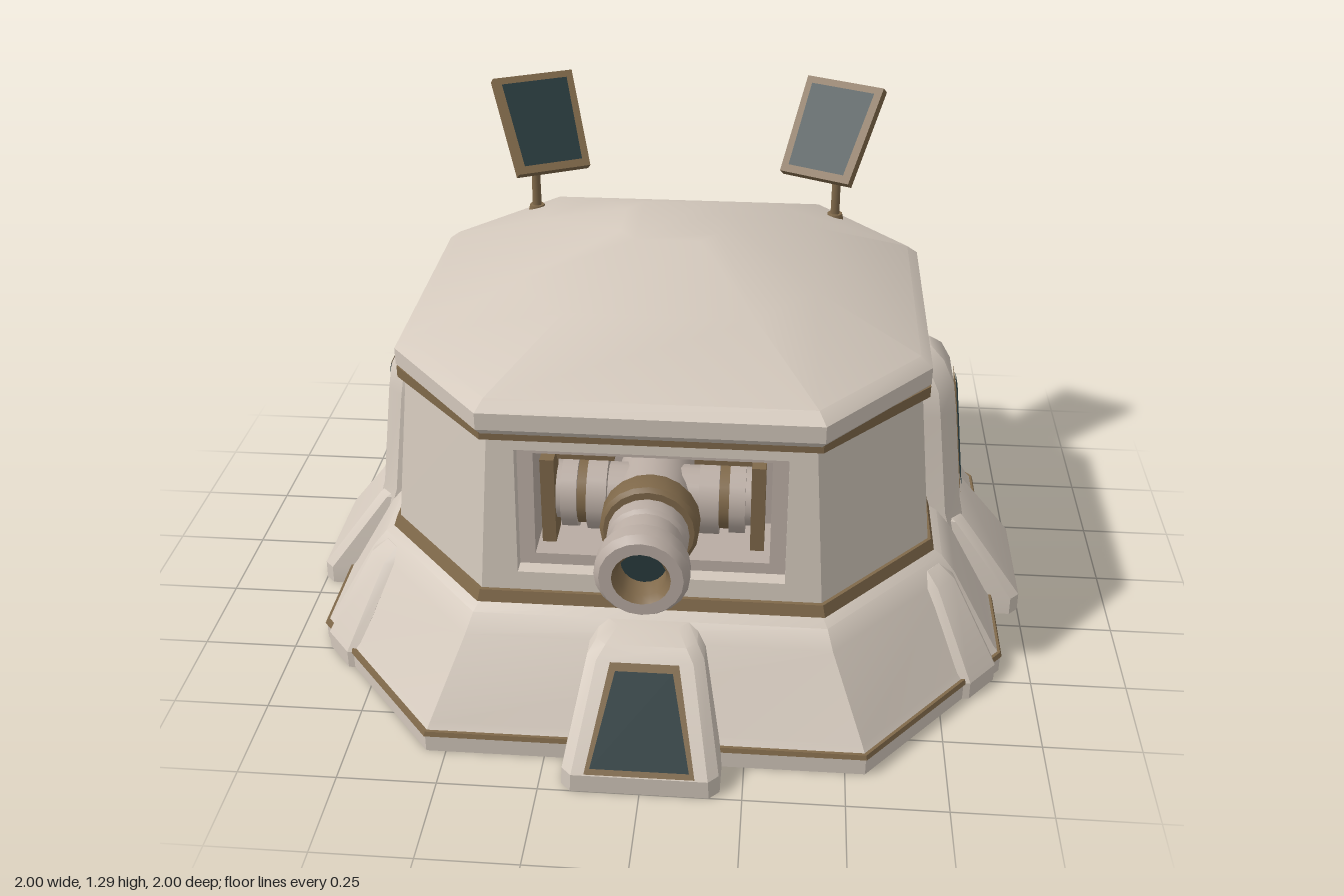
import * as THREE from 'three';
import { toCreasedNormals } from 'three/addons/utils/BufferGeometryUtils.js';

const material = (name, color, side = THREE.FrontSide) => {
  const m = new THREE.MeshStandardMaterial({ color, side });
  m.name = name;
  return m;
};

// Faceted solid through horizontal rings (bottom to top), each running counterclockwise from above
function loft(rings, skipSide = -1) {
  const out = [];
  const tri = (...pts) => pts.forEach((p) => out.push(...p));
  const n = rings[0].length;
  for (let i = 0; i < rings.length - 1; i++) {
    for (let j = 0; j < n; j++) {
      if (j === skipSide) continue;
      const k = (j + 1) % n;
      const [a, b, c, d] = [rings[i][j], rings[i][k], rings[i + 1][k], rings[i + 1][j]];
      tri(a, b, c);
      tri(a, c, d);
    }
  }
  const bottom = rings[0], top = rings[rings.length - 1];
  for (let j = 1; j < n - 1; j++) {
    tri(bottom[0], bottom[j + 1], bottom[j]);
    tri(top[0], top[j], top[j + 1]);
  }
  const g = new THREE.BufferGeometry();
  g.setAttribute('position', new THREE.Float32BufferAttribute(out, 3));
  g.computeVertexNormals();
  return toCreasedNormals(g, 0.45);
}

// Octagon ring: half width hx, half depth hz, chamfer corners at cx and cz
const octagon = ([y, hx, cx, hz, cz]) => [
  [-cx, y, hz], [cx, y, hz], [hx, y, cz], [hx, y, -cz],
  [cx, y, -hz], [-cx, y, -hz], [-hx, y, -cz], [-hx, y, cz],
];

// Buttress ring: half width w, outer face at z = out, bevelled corners
const buttressRing = (inner, bevel) => ([y, w, out]) => [
  [-w, y, inner], [-w, y, out - bevel], [-w + bevel, y, out],
  [w - bevel, y, out], [w, y, out - bevel], [w, y, inner],
];

const polygon = (pts) => new THREE.Shape(pts.map(([x, y]) => new THREE.Vector2(x, y)));
const rectangle = (w, y0, y1) => [[-w, y0], [w, y0], [w, y1], [-w, y1]];

// Shift a geometry's z by a rule of y
function slopeZ(g, rule) {
  const p = g.attributes.position;
  for (let i = 0; i < p.count; i++) p.setZ(i, p.getZ(i) + rule(p.getY(i)));
  g.computeVertexNormals();
  return g;
}

export function createModel() {
  const model = new THREE.Group();
  model.name = 'bunker';
  const plaster = material('plaster', 0xd3c8bc);
  const trim = material('bronze trim', 0x80694a, THREE.DoubleSide);
  const glass = material('dark glass', 0x283a3d, THREE.DoubleSide);
  const gunMetal = material('pale gun metal', 0xb9aca3, THREE.DoubleSide);

  const add = (name, geometry, mat, parent = model) => {
    const mesh = new THREE.Mesh(geometry, mat);
    mesh.name = name;
    parent.add(mesh);
    return mesh;
  };
  const turned = (name, angle) => {
    const g = new THREE.Group();
    g.name = name;
    g.rotation.y = angle;
    model.add(g);
    return g;
  };

  // Sloped base skirt
  add('baseSkirt', loft([
    [0, 0.92, 0.55, 0.885, 0.45], [0.05, 0.92, 0.55, 0.885, 0.45],
    [0.075, 0.9, 0.54, 0.865, 0.44], [0.27, 0.785, 0.46, 0.755, 0.385],
    [0.31, 0.75, 0.445, 0.715, 0.37], [0.34, 0.7, 0.42, 0.66, 0.35],
  ].map(octagon)), plaster);
  add('baseTrim', loft([[0.048, 0.924, 0.552, 0.889, 0.452], [0.06, 0.919, 0.55, 0.885, 0.45]].map(octagon)), trim);

  // Walls, open at the front where the gun port panel sits
  add('walls', loft([[0.33, 0.712, 0.43, 0.672, 0.36], [0.8, 0.665, 0.4, 0.635, 0.34]].map(octagon), 0), plaster);
  const wallFront = (y) => 0.672 - (0.037 * (y - 0.33)) / 0.47;
  const portPanel = polygon([[-0.43, 0.33], [0.43, 0.33], [0.4, 0.8], [-0.4, 0.8]]);
  portPanel.holes.push(polygon(rectangle(0.335, 0.405, 0.745)));
  add('gunPortPanel', slopeZ(new THREE.ExtrudeGeometry(portPanel, { depth: 0.25, bevelEnabled: false })
    .translate(0, 0, -0.25), wallFront), plaster);
  const portFrame = polygon(rectangle(0.34, 0.4, 0.75));
  portFrame.holes.push(polygon(rectangle(0.295, 0.435, 0.715)));
  add('gunPortFrame', slopeZ(new THREE.ExtrudeGeometry(portFrame, { depth: 0.18, bevelEnabled: false })
    .translate(0, 0, -0.22), wallFront), gunMetal);
  add('gunPortBack', new THREE.BoxGeometry(0.7, 0.38, 0.02).translate(0, 0.575, 0.41), gunMetal);

  // Trim bands under the roof and around the wall foot
  add('wallFootBand', loft([[0.325, 0.728, 0.438, 0.69, 0.367], [0.355, 0.718, 0.432, 0.68, 0.362]].map(octagon)
    ), trim);
  add('roofBand', loft([[0.78, 0.685, 0.415, 0.655, 0.355], [0.81, 0.685, 0.415, 0.655, 0.355]].map(octagon)), trim);

  // Faceted roof
  add('roof', loft([
    [0.8, 0.672, 0.41, 0.66, 0.35], [0.82, 0.685, 0.418, 0.678, 0.36],
    [0.865, 0.685, 0.418, 0.678, 0.36], [0.89, 0.655, 0.4, 0.645, 0.345],
    [0.995, 0.39, 0.24, 0.385, 0.21], [1.09, 0.13, 0.085, 0.13, 0.075],
  ].map(octagon)), plaster);

  // Sloped window: trim plate with a glass plate on it
  const addWindow = (name, parent, rule, y0, y1, w0, w1, edge) => {
    const plate = (e) => new THREE.ShapeGeometry(polygon([
      [-w0 + e, y0 + e], [w0 - e, y0 + e], [w1 - e, y1 - e], [-w1 + e, y1 - e]]));
    add(name + 'Frame', slopeZ(plate(0), (y) => rule(y) + 0.005), trim, parent);
    add(name + 'Glass', slopeZ(plate(edge), (y) => rule(y) + 0.01), glass, parent);
  };

  // Four buttresses; front and back carry windows, the sides carry tall arched bays
  ['front', 'left', 'back', 'right'].forEach((side, i) => {
    const group = turned(side + 'Buttress', (i * Math.PI) / 2);
    add('buttress', loft([
      [0, 0.195, 1], [0.05, 0.192, 1], [0.27, 0.145, 0.832], [0.295, 0.125, 0.8], [0.31, 0.1, 0.74],
    ].map(buttressRing(0.6, 0.025))), plaster, group);
    if (i % 2 === 0) {
      addWindow('slopedWindow', group, (y) => 1 - (0.168 * (y - 0.05)) / 0.22, 0.055, 0.27, 0.135, 0.085, 0.014);
    } else {
      add('archedBay', loft([
        [0.2, 0.165, 0.85], [0.3, 0.15, 0.82], [0.6, 0.138, 0.785], [0.67, 0.128, 0.775],
        [0.73, 0.1, 0.745], [0.76, 0.075, 0.71], [0.775, 0.05, 0.67],
      ].map(buttressRing(0.5, 0.045))), plaster, group);
      addWindow('tallWindow', group, (y) => 0.82 - 0.117 * (y - 0.3), 0.315, 0.66, 0.056, 0.052, 0.013);
    }
  });

  // Slim ribs on the diagonal faces of the skirt
  for (const sx of [-1, 1]) for (const sz of [-1, 1]) {
    const group = turned('diagonalRib', Math.atan2(sx * 0.435, sz * 0.37));
    add('rib', loft([
      [0, 0.075, 1.005], [0.05, 0.075, 1.005], [0.27, 0.055, 0.865], [0.3, 0.045, 0.82],
    ].map(buttressRing(0.6, 0.02))), plaster, group).position.x = sx * sz * 0.155;
  }

  // Gun: barrel turned around z, with bore
  const gun = new THREE.Group();
  gun.name = 'gun';
  gun.position.y = 0.565;
  model.add(gun);
  const turnedPart = (name, profile, mat) => add(name, toCreasedNormals(
    new THREE.LatheGeometry(profile.map(([r, z]) => new THREE.Vector2(r, z)), 20).rotateX(Math.PI / 2), 0.6), mat, gun);
  turnedPart('breech', [[0.001, 0.42], [0.1, 0.42], [0.1, 0.62], [0.001, 0.62]], gunMetal);
  turnedPart('barrelCollar', [[0.001, 0.62], [0.115, 0.62], [0.122, 0.635], [0.122, 0.69], [0.112, 0.7], [0.001, 0.7]], trim);
  turnedPart('barrel', [[0.09, 0.7], [0.1, 0.71], [0.1, 0.75], [0.092, 0.76], [0.092, 0.82], [0.112, 0.835],
    [0.114, 0.88], [0.1, 0.9], [0.07, 0.9]], gunMetal);
  turnedPart('bore', [[0.07, 0.9], [0.058, 0.88], [0.055, 0.82]], trim);
  add('boreGlass', new THREE.CircleGeometry(0.056, 20).translate(0, 0, 0.83), glass, gun);

  // Gun cradle: cross axle, collars and brackets
  const axle = (name, r, len, x, mat) => add(name,
    new THREE.CylinderGeometry(r, r, len, 16).rotateZ(Math.PI / 2).translate(x, 0, 0.52), mat, gun);
  axle('axle', 0.075, 0.54, 0, gunMetal);
  for (const s of [-1, 1]) {
    axle('axleCollar', 0.1, 0.05, s * 0.14, gunMetal);
    axle('axleCollar', 0.095, 0.04, s * 0.21, gunMetal);
    axle('axleRing', 0.085, 0.03, s * 0.175, trim);
    add('cradleBracket', new THREE.BoxGeometry(0.035, 0.24, 0.08).translate(s * 0.262, 0.01, 0.56), trim, gun);
    add('cradleRail', new THREE.BoxGeometry(0.16, 0.025, 0.05).translate(s * 0.18, 0.115, 0.52), trim, gun);
  }

  // Two tilted roof panels on posts
  const panelOutline = (e) => polygon([[-0.11 + e, -0.15 + e], [0.11 - e, -0.15 + e], [0.122 - e, 0.15 - e], [-0.122 + e, 0.15 - e]]);
  for (const s of [-1, 1]) {
    const side = s > 0 ? 'left' : 'right';
    add(side + 'PanelPost', new THREE.CylinderGeometry(0.012, 0.014, 0.25, 10).translate(s * 0.447, 1.0, -0.5), trim);
    add(side + 'PostFoot', new THREE.CylinderGeometry(0.022, 0.028, 0.025, 10).translate(s * 0.447, 0.91, -0.5), trim);
    const panel = new THREE.Group();
    panel.name = side + 'RoofPanel';
    panel.position.set(s * 0.425, 1.168, -0.525);
    panel.rotation.set(-0.67, -s * 0.464, 0, 'YXZ');
    model.add(panel);
    add('panelFrame', new THREE.ExtrudeGeometry(panelOutline(0), { depth: 0.03, bevelEnabled: false })
      .translate(0, 0, -0.015), trim, panel);
    for (const z of [-0.019, 0.019]) {
      add('panelGlass', new THREE.ShapeGeometry(panelOutline(0.022)).translate(0, 0, z), glass, panel);
    }
  }
  return model;
}
